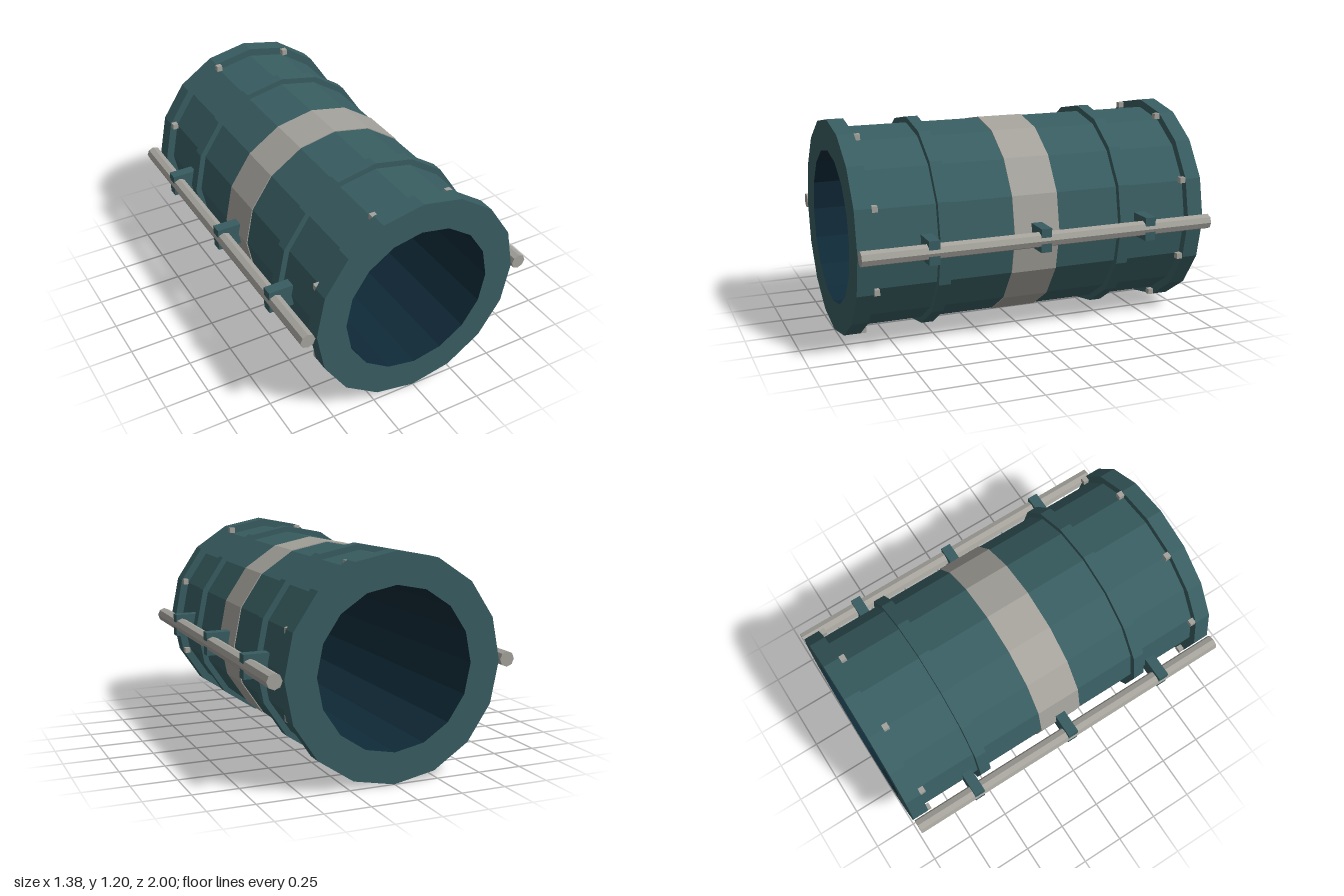
import * as THREE from 'three';

const SIDES = 16;

export function createModel() {
  const model = new THREE.Group();
  model.name = 'pipeSegment';

  const mat = (name, color) => new THREE.MeshStandardMaterial({ name, color, flatShading: true });
  const teal = mat('teal', 0x385d61);
  const grey = mat('warmGrey', 0xa4a29b);
  const navy = mat('darkNavy', 0x102a38);

  const add = (name, geometry, material, x = 0, y = 0, z = 0) => {
    const mesh = new THREE.Mesh(geometry, material);
    mesh.name = name;
    mesh.position.set(x, y, z);
    model.add(mesh);
    return mesh;
  };

  // Sixteen-sided surface around the z axis, from [radius, z] profile points
  const turned = (name, profile, material) => {
    const points = profile.map(([r, z]) => new THREE.Vector2(r, z));
    return add(name, new THREE.LatheGeometry(points, SIDES).rotateX(Math.PI / 2), material, 0, 0.6, 0);
  };
  const hoop = (name, inner, outer, z0, z1, material) =>
    turned(name, [[inner, z0], [outer, z0], [outer, z1], [inner, z1]], material);

  // Outer shell, inward-facing liner and painted middle band
  turned('shell', [[0.555, -0.95], [0.555, 0.95]], teal);
  turned('liner', [[0.43, 1], [0.43, -1]], navy);
  hoop('middleBand', 0.55, 0.56, -0.13, 0.13, grey);

  // End flanges and raised ribs
  hoop('frontFlange', 0.43, 0.6, 0.907, 1, teal);
  hoop('backFlange', 0.43, 0.6, -1, -0.907, teal);
  for (const z of [-0.522, 0.522]) hoop('rib', 0.54, 0.588, z - 0.033, z + 0.033, teal);

  // Bolts behind each flange
  const bolt = new THREE.BoxGeometry(0.032, 0.032, 0.032);
  for (const z of [-0.891, 0.891]) {
    for (let i = 0; i < 8; i++) {
      const a = ((i + 0.5) * Math.PI) / 4;
      add('bolt', bolt, grey, 0.58 * Math.cos(a), 0.6 + 0.58 * Math.sin(a), z);
    }
  }

  // Side rails held by brackets
  const rail = new THREE.CylinderGeometry(0.042, 0.042, 2, 8).rotateX(Math.PI / 2);
  const bracket = new THREE.BoxGeometry(0.14, 0.13, 0.06);
  for (const side of [-1, 1]) {
    add(side > 0 ? 'leftRail' : 'rightRail', rail, grey, side * 0.65, 0.6, 0);
    for (const z of [-0.62, 0, 0.62]) add('railBracket', bracket, teal, side * 0.615, 0.6, z);
  }

  return model;
}
